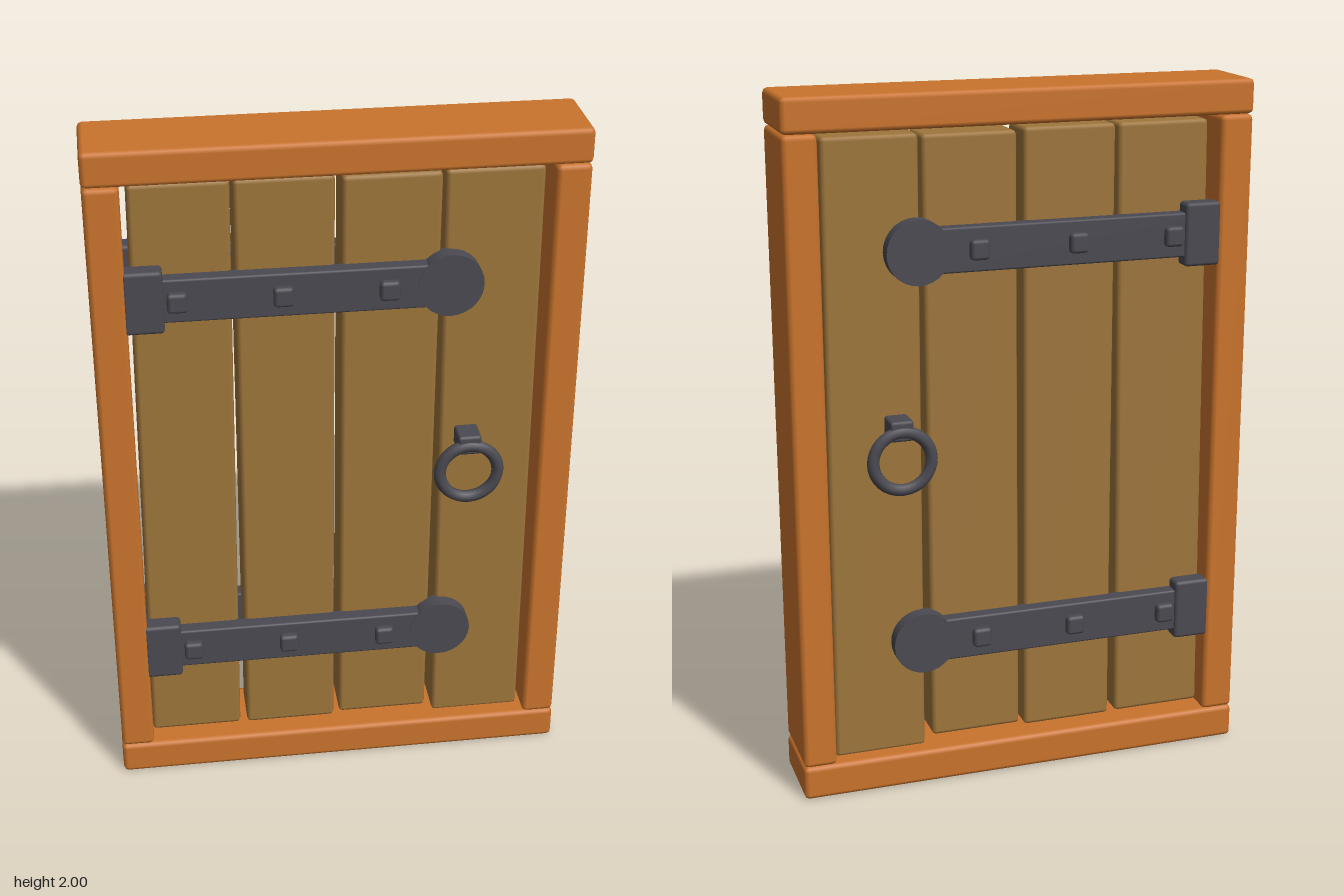
import * as THREE from 'three';
import { RoundedBoxGeometry } from 'three/addons/geometries/RoundedBoxGeometry.js';

export function createModel() {
  const door = new THREE.Group();
  door.name = 'door';

  const material = (name, color) => {
    const m = new THREE.MeshStandardMaterial({ color });
    m.name = name;
    return m;
  };
  const frameWood = material('orange frame wood', 0xcb742c);
  const plankWood = material('brown plank wood', 0x9f763c);
  const iron = material('dark iron', 0x4b4a52);

  const add = (parent, name, geometry, mat, x = 0, y = 0, z = 0) => {
    const mesh = new THREE.Mesh(geometry, mat);
    mesh.name = name;
    mesh.position.set(x, y, z);
    parent.add(mesh);
    return mesh;
  };
  const block = (w, h, d, r) => new RoundedBoxGeometry(w, h, d, 1, r);

  // Outer frame: lintel, sill and two posts
  const frame = new THREE.Group();
  frame.name = 'frame';
  door.add(frame);
  add(frame, 'lintel', block(1.33, 0.097, 0.244, 0.014), frameWood, 0, 1.9515);
  add(frame, 'sill', block(1.33, 0.1, 0.244, 0.014), frameWood, 0, 0.05);
  for (const [side, name] of [[1, 'leftPost'], [-1, 'rightPost']]) {
    add(frame, name, block(0.096, 1.802, 0.244, 0.014), frameWood, side * 0.616, 1.001);
  }

  // Planks, each leaning a little: centre x at the bottom and top, then y range
  const planks = new THREE.Group();
  planks.name = 'planks';
  door.add(planks);
  [
    [-0.435, -0.417, 0.112, 1.888],
    [-0.147, -0.142, 0.11, 1.888],
    [0.136, 0.144, 0.12, 1.882],
    [0.426, 0.419, 0.095, 1.886],
  ].forEach(([xBottom, xTop, y0, y1], i) => {
    const h = y1 - y0;
    const g = block(0.267, h, 0.14, 0.012);
    const p = g.attributes.position;
    for (let k = 0; k < p.count; k++) {
      p.setX(k, p.getX(k) + THREE.MathUtils.lerp(xBottom, xTop, p.getY(k) / h + 0.5));
    }
    add(planks, 'plank' + (i + 1), g, plankWood, 0, (y0 + y1) / 2);
  });

  // Hinges and ring pulls, the same on front and back
  for (const [side, face] of [[1, 'front'], [-1, 'back']]) {
    for (const [y, level] of [[1.572, 'Upper'], [0.437, 'Lower']]) {
      const hinge = new THREE.Group();
      hinge.name = face + level + 'Hinge';
      hinge.position.y = y;
      door.add(hinge);
      add(hinge, 'hingePlate', block(0.108, 0.18, 0.06, 0.01), iron, -0.524, 0, side * 0.089);
      add(hinge, 'strap', block(0.84, 0.125, 0.05, 0.006), iron, -0.12, 0, side * 0.085);
      const disc = add(hinge, 'strapEnd', new THREE.CylinderGeometry(0.09, 0.09, 0.051, 28), iron, 0.3, 0, side * 0.086);
      disc.rotation.x = Math.PI / 2;
      for (const x of [-0.435, -0.153, 0.132]) {
        add(hinge, 'bolt', block(0.054, 0.056, 0.04, 0.01), iron, x, 0, side * 0.111);
      }
    }

    // Ring hanging from a small staple
    const pull = new THREE.Group();
    pull.name = face + 'RingPull';
    pull.position.set(0.363, 1.0, 0);
    door.add(pull);
    add(pull, 'ring', new THREE.TorusGeometry(0.083, 0.0175, 8, 32), iron, 0, 0, side * 0.135);
    add(pull, 'staple', block(0.066, 0.058, 0.08, 0.008), iron, 0, 0.086, side * 0.103);
  }

  return door;
}
